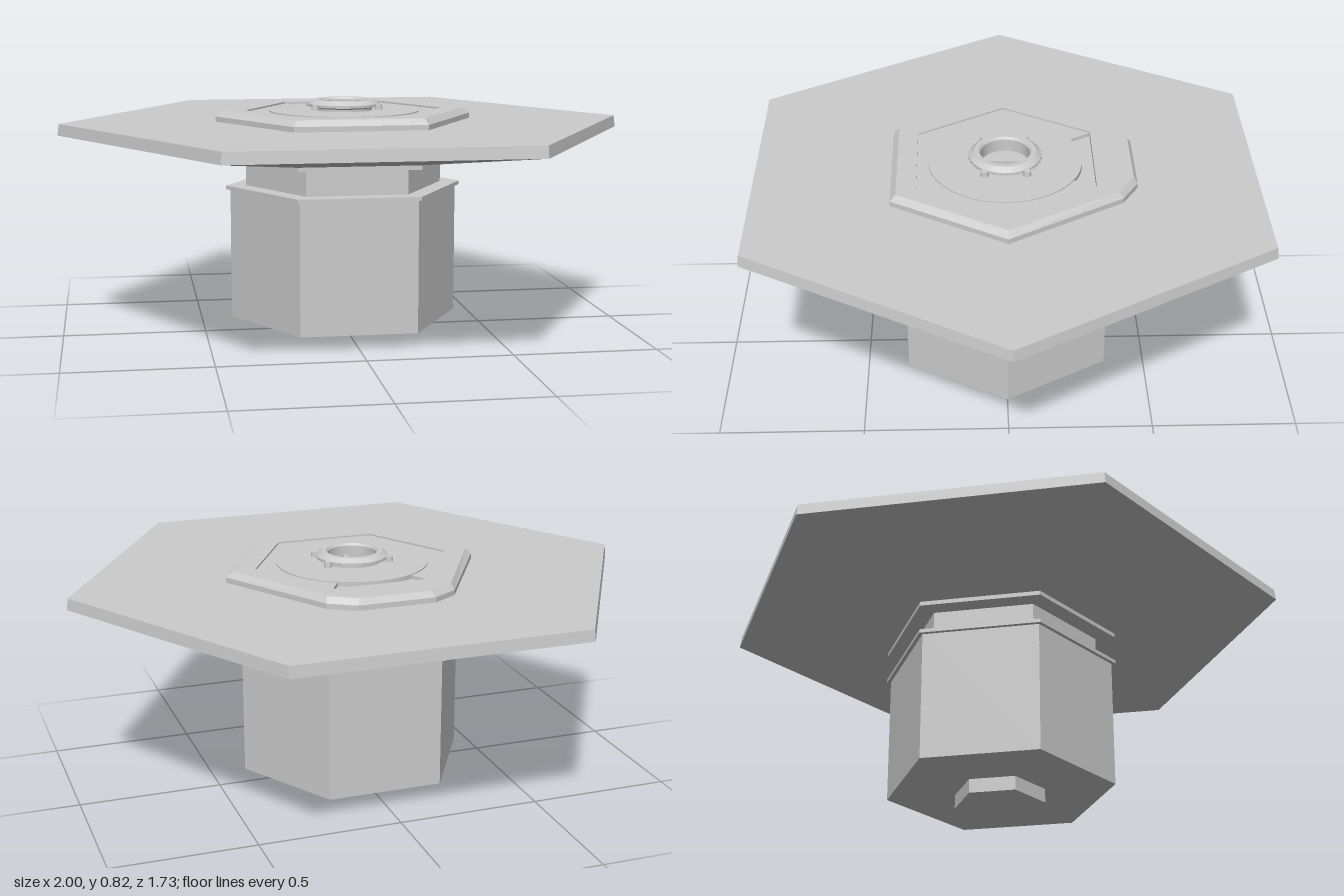
import * as THREE from 'three';

const flat = new THREE.MeshStandardMaterial({ color: 0xcccccc, flatShading: true });
const smooth = new THREE.MeshStandardMaterial({ color: 0xcccccc });
const V = (x, y) => new THREE.Vector2(x, y);

function add(group, name, geometry, material = flat) {
  const mesh = new THREE.Mesh(geometry, material);
  mesh.name = name;
  group.add(mesh);
  return mesh;
}

// Hexagonal solid from [radius, height] pairs, corners on the x axis
function hexSolid(pairs) {
  return new THREE.LatheGeometry(pairs.map(([r, y]) => V(r, y)), 6, Math.PI / 2);
}

// Upright slab from a plan-view shape (shape y becomes -z)
function slab(shape, y0, y1) {
  const g = new THREE.ExtrudeGeometry(shape, { depth: y1 - y0, bevelEnabled: false, curveSegments: 32 });
  return g.rotateX(-Math.PI / 2).translate(0, y0, 0);
}

// Side walls joining closed plan outlines of equal length at rising heights
function loft(rings) {
  const pos = [], idx = [], n = rings[0].outline.length;
  for (const { outline, y } of rings) for (const p of outline) pos.push(p.x, y, -p.y);
  for (let k = 0; k < rings.length - 1; k++) {
    for (let i = 0; i < n; i++) {
      const a = k * n + i, b = k * n + (i + 1) % n;
      idx.push(a, b, b + n, a, b + n, a + n);
    }
  }
  const g = new THREE.BufferGeometry();
  g.setAttribute('position', new THREE.Float32BufferAttribute(pos, 3));
  g.setIndex(idx);
  g.computeVertexNormals();
  return g;
}

const corner = (r, i) => V(r * Math.cos(i * Math.PI / 3), r * Math.sin(i * Math.PI / 3));

export function createModel() {
  const model = new THREE.Group();
  model.name = 'hexagonalPlatform';

  // Lower tower
  add(model, 'foot', hexSolid([[0, 0], [0.16, 0], [0.16, 0.06]]));
  add(model, 'tower', hexSolid([[0, 0.05], [0.405, 0.05], [0.405, 0.51]]));
  add(model, 'lowerFlange', hexSolid([[0.3, 0.51], [0.42, 0.51], [0.42, 0.523], [0.3, 0.523]]));
  add(model, 'neck', hexSolid([[0.35, 0.515], [0.35, 0.625]]));
  add(model, 'upperFlange', hexSolid([[0.3, 0.615], [0.42, 0.615], [0.42, 0.63]]));

  // Wide platform with a tapering underside
  add(model, 'platform', hexSolid([[0.42, 0.63], [1, 0.71], [0.995, 0.75], [0, 0.75]]));

  // Raised deck, extended and chamfered at the back
  const base = [V(0.455, 0), V(0.225, 0.39), V(0.135, 0.445), V(-0.135, 0.445),
    V(-0.225, 0.39), V(-0.455, 0), V(-0.225, -0.39), V(0.225, -0.39)];
  const top = [V(0.432, 0), V(0.218, 0.375), V(0.125, 0.432), V(-0.125, 0.432),
    V(-0.218, 0.375), V(-0.432, 0), V(-0.215, -0.37), V(0.215, -0.37)];
  add(model, 'deckSides', loft([{ outline: base, y: 0.75 }, { outline: base, y: 0.768 }, { outline: top, y: 0.788 }]));
  const deckTop = new THREE.Shape(top);
  deckTop.holes.push(new THREE.Path([0, 1, 2, 3, 4, 5].map(i => corner(0.35, i))));
  add(model, 'deckTop', slab(deckTop, 0.755, 0.788));

  // Recessed sectors, the back one deeper
  for (let i = 0; i < 6; i++) {
    const sector = new THREE.Shape([corner(0.2, i), corner(0.352, i), corner(0.352, i + 1), corner(0.2, i + 1)]);
    add(model, 'deckRecess', slab(sector, 0.752, i === 1 ? 0.77 : 0.782));
  }

  // Round centre plate with a well
  const plate = new THREE.Shape().absarc(0, 0, 0.265, 0, Math.PI * 2);
  plate.holes.push(new THREE.Path().absarc(0, 0, 0.084, 0, Math.PI * 2, true));
  add(model, 'centrePlate', slab(plate, 0.752, 0.786));

  // Hollow collar
  const collar = [[0.1, 0.784], [0.1, 0.794], [0.124, 0.8], [0.124, 0.809], [0.106, 0.823],
    [0.09, 0.823], [0.084, 0.815], [0.084, 0.77], [0, 0.77]].map(([r, y]) => V(r, y));
  add(model, 'collar', new THREE.LatheGeometry(collar, 48), flat);

  // Knurled teeth around the collar
  const tooth = new THREE.BoxGeometry(0.008, 0.008, 0.006);
  const knurls = new THREE.Group();
  knurls.name = 'collarKnurls';
  for (let i = 0; i < 36; i++) {
    const a = i * Math.PI / 18;
    const m = add(knurls, 'knurl', tooth);
    m.position.set(0.123 * Math.cos(a), 0.804, 0.123 * Math.sin(a));
    m.rotation.y = -a;
  }
  model.add(knurls);

  // Four lugs
  for (const sx of [-1, 1]) {
    for (const sz of [-1, 1]) {
      const lug = add(model, 'collarLug', new THREE.CylinderGeometry(0.012, 0.014, 0.018, 12), smooth);
      lug.position.set(sx * 0.112, 0.801, sz * 0.072);
    }
  }

  // Bar across the well
  add(model, 'wellBar', new THREE.BoxGeometry(0.014, 0.014, 0.168)).position.y = 0.777;
  return model;
}
